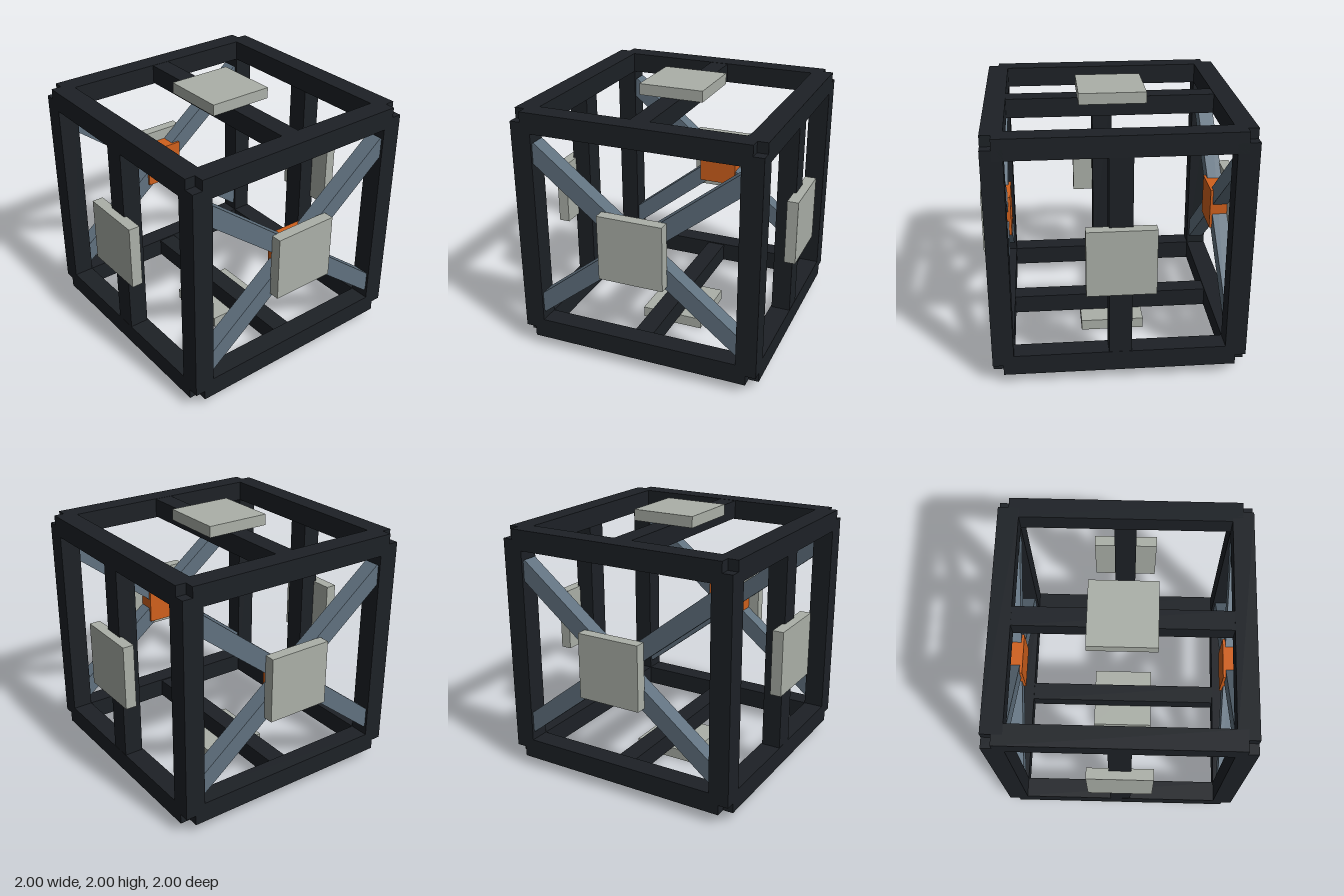
import * as THREE from 'three';

export function createModel() {
  const model = new THREE.Group();
  const material = (color) => new THREE.MeshStandardMaterial({ color });
  const dark = material(0x1d2126);
  const steel = material(0x60717f);
  const pale = material(0xabb0a8);
  const orange = material(0xd0601c);

  // Everything is laid out around the cube's centre, at height 1
  function box(name, mat, size, pos) {
    const mesh = new THREE.Mesh(new THREE.BoxGeometry(...size), mat);
    mesh.name = name;
    mesh.position.set(pos[0], pos[1] + 1, pos[2]);
    model.add(mesh);
    return mesh;
  }

  const C = 0.86;   // beam centre line in x and z
  const CY = 0.84;  // beam centre line in y
  const T = 0.156;  // beam thickness

  for (const a of [-1, 1]) {
    // Twelve edge beams, ending on each other's centre lines so corners stay notched
    for (const b of [-1, 1]) {
      box('edgeBeamX', dark, [2 * C, T, T], [0, a * CY, b * C]);
      box('edgeBeamZ', dark, [T, T, 2 * C], [a * C, b * CY, 0]);
      box('cornerPost', dark, [T, 2 * CY, T], [a * C, 0, b * C]);
    }

    // Middle bars on front, back, top and bottom
    box('middlePost', dark, [0.167, 2 * CY - T, 0.146], [0, 0, a * 0.863]);
    box('middleBeam', dark, [2 * C - T, 0.146, 0.146], [0, a * 0.843, 0]);

    // Crossed braces and hub on the left and right sides
    for (const tilt of [-1, 1]) {
      const brace = box('crossBrace', steel, [0.12, 0.134, 2.07], [a * C, 0, 0]);
      brace.rotation.x = tilt * 0.668;
    }
    box('braceHub', orange, [0.14, 0.32, 0.32], [a * 0.85, 0, 0]);

    // Square plates on all six faces
    box('sidePlate', pale, [0.085, 0.5, 0.5], [a * 0.9575, 0, 0]);
    box('levelPlate', pale, [0.5, 0.085, 0.5], [0, a * 0.9575, 0]);
    box('facePlate', pale, [0.5, 0.5, 0.085], [0, 0, a * 0.9575]);
  }

  return model;
}
